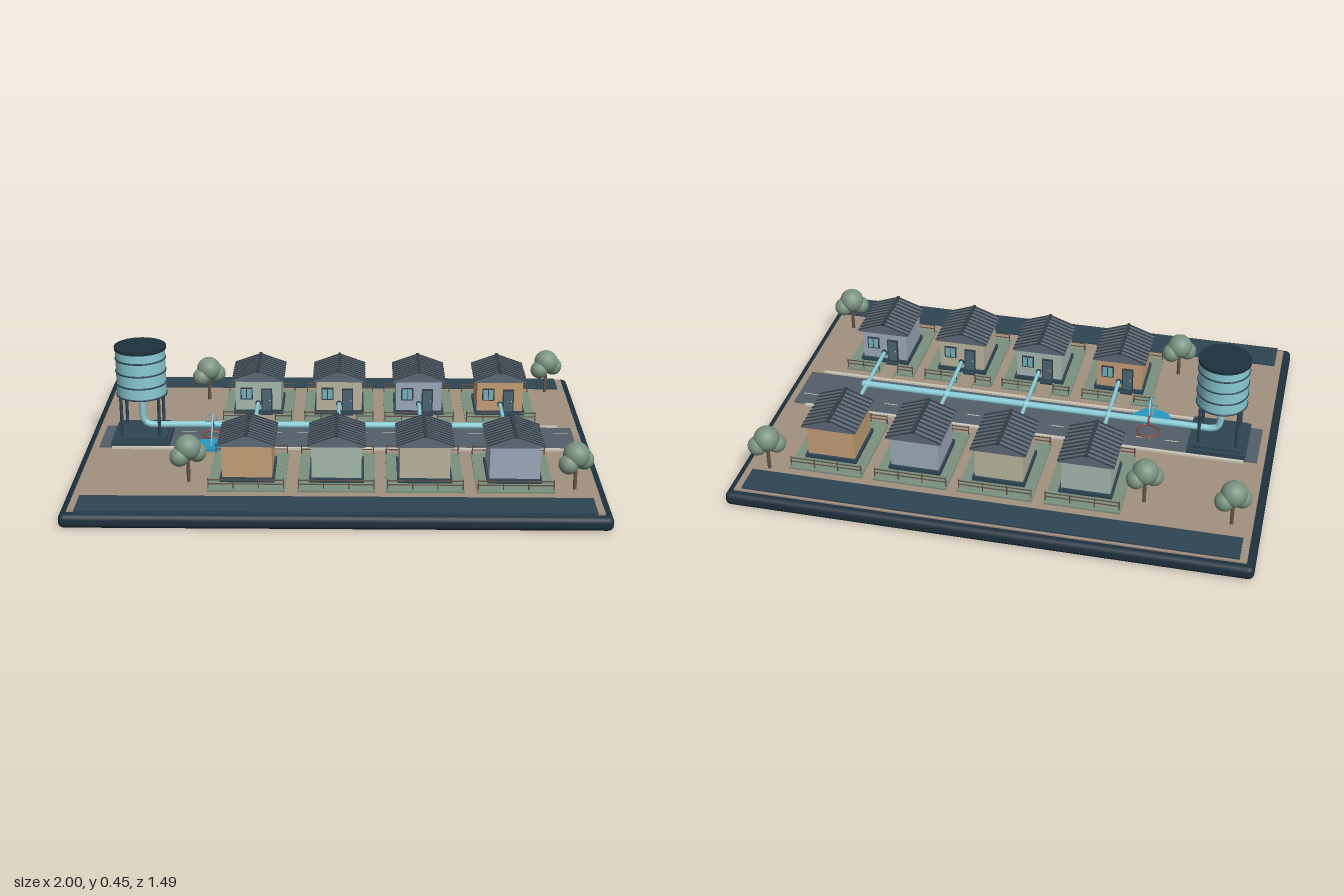
import * as THREE from 'three';
import { RoundedBoxGeometry } from 'three/addons/geometries/RoundedBoxGeometry.js';

const mats = {};
const mat = (c) => (mats[c] ??= new THREE.MeshStandardMaterial({ color: c, roughness: 0.8 }));
const NAVY = 0x1d313d, STRIP = 0x2e4553, SOIL = 0xa39180, ROAD = 0x525e69, LAWN = 0x7b917f, SLATE = 0x5e6a76,
  DARK = 0x343f48, PIPE = 0x8accd6, WATER = 0x2799c4, LEAF = 0x7b9482, TRUNK = 0x665548, KERB = 0xcfcabb, RUST = 0x8a4a3c;

function add(parent, name, geo, color, x = 0, y = 0, z = 0) {
  const m = new THREE.Mesh(geo, mat(color));
  m.name = name;
  m.position.set(x, y, z);
  parent.add(m);
  return m;
}
// Box given by its centre in x and z and by its bottom and top heights
const slab = (p, name, color, w, d, y0, y1, x = 0, z = 0) =>
  add(p, name, new THREE.BoxGeometry(w, y1 - y0, d), color, x, (y0 + y1) / 2, z);
const post = (p, name, color, r, y0, y1, x, z, seg = 10) =>
  add(p, name, new THREE.CylinderGeometry(r, r, y1 - y0, seg), color, x, (y0 + y1) / 2, z);
const tube = (p, name, color, pts, r, seg = 24) => add(p, name,
  new THREE.TubeGeometry(new THREE.CatmullRomCurve3(pts.map((a) => new THREE.Vector3(...a)), false, 'catmullrom', 0.2), seg, r, 12), color);

// One plot with its house; its front faces +z and the house stands on its origin
function housePlot(wall) {
  const g = new THREE.Group();
  g.name = 'housePlot';
  slab(g, 'lawn', LAWN, 0.29, 0.37, 0.058, 0.068, 0, 0.0);
  slab(g, 'path', SOIL, 0.062, 0.125, 0.058, 0.0705, 0.035, 0.165);
  slab(g, 'foundation', STRIP, 0.205, 0.222, 0.066, 0.084);
  slab(g, 'walls', wall, 0.188, 0.2, 0.08, 0.216);

  // Gable roof with ridge along z
  const s = new THREE.Shape([[-0.108, 0.212], [0.108, 0.212], [0.108, 0.217], [0, 0.256], [-0.108, 0.217]]
    .map((p) => new THREE.Vector2(...p)));
  add(g, 'roof', new THREE.ExtrudeGeometry(s, { depth: 0.232, bevelEnabled: false }), SLATE, 0, 0, -0.116);
  slab(g, 'ridgeCap', DARK, 0.012, 0.234, 0.252, 0.262);
  const len = Math.hypot(0.108, 0.039), tilt = Math.atan2(0.039, 0.108);
  for (const side of [-1, 1]) {
    for (let i = 0; i < 10; i++) {
      const rib = add(g, 'roofRib', new THREE.BoxGeometry(len, 0.005, 0.006), DARK,
        side * 0.054, 0.2375, -0.112 + i * 0.0249);
      rib.rotation.z = -side * tilt;
    }
  }

  // Door and window
  slab(g, 'doorFrame', DARK, 0.046, 0.008, 0.084, 0.178, 0.035, 0.102);
  slab(g, 'door', 0x4d6673, 0.036, 0.008, 0.084, 0.172, 0.035, 0.105);
  add(g, 'doorKnob', new THREE.SphereGeometry(0.003, 8, 6), KERB, 0.048, 0.128, 0.111);
  slab(g, 'doorStep', STRIP, 0.05, 0.02, 0.066, 0.078, 0.035, 0.118);
  slab(g, 'windowFrame', DARK, 0.05, 0.008, 0.13, 0.182, -0.048, 0.102);
  slab(g, 'windowPane', 0x77b3c0, 0.04, 0.008, 0.135, 0.177, -0.048, 0.104);
  slab(g, 'windowBar', DARK, 0.003, 0.008, 0.135, 0.177, -0.048, 0.1055);

  // Fences: full along the back, gap for the path in front
  const fence = (x0, x1, z) => {
    const n = Math.max(1, Math.round((x1 - x0) / 0.09));
    for (let i = 0; i <= n; i++) post(g, 'fencePost', TRUNK, 0.0025, 0.066, 0.108, x0 + (i / n) * (x1 - x0), z, 6);
    for (const y of [0.084, 0.1]) slab(g, 'fenceRail', TRUNK, x1 - x0, 0.003, y, y + 0.004, (x0 + x1) / 2, z);
  };
  fence(-0.14, 0.14, -0.168);
  fence(-0.14, -0.005, 0.176);
  fence(0.075, 0.14, 0.176);
  return g;
}

function tree(x, z) {
  const g = new THREE.Group();
  g.name = 'tree';
  g.position.set(x, 0, z);
  post(g, 'trunk', TRUNK, 0.007, 0.06, 0.17, 0, 0);
  for (const [px, py, pz, r] of [[0, 0.198, 0, 0.05], [-0.03, 0.168, 0.02, 0.037], [0.031, 0.173, -0.018, 0.038]])
    add(g, 'foliage', new THREE.SphereGeometry(r, 20, 14), LEAF, px, py, pz);
  return g;
}

function waterTower() {
  const g = new THREE.Group();
  g.name = 'waterTower';
  g.position.x = -0.78;
  slab(g, 'plinthBase', STRIP, 0.23, 0.224, 0.06, 0.085);
  slab(g, 'plinthTop', STRIP, 0.205, 0.2, 0.085, 0.096);
  for (const x of [-0.074, 0.074]) for (const z of [-0.074, 0.074]) post(g, 'leg', STRIP, 0.0065, 0.09, 0.255, x, z);
  post(g, 'tank', PIPE, 0.098, 0.248, 0.44, 0, 0, 48);
  post(g, 'tankLid', NAVY, 0.102, 0.438, 0.45, 0, 0, 48);
  for (const y of [0.252, 0.3, 0.35, 0.402]) {
    const band = add(g, 'tankBand', new THREE.TorusGeometry(0.098, 0.0035, 8, 48), STRIP, 0, y, 0);
    band.rotation.x = Math.PI / 2;
  }
  return g;
}

export function createModel() {
  const model = new THREE.Group();
  model.name = 'townshipWaterNetwork';

  // Base board
  add(model, 'baseBoard', new RoundedBoxGeometry(2, 0.055, 1.49, 4, 0.022), NAVY, 0, 0.0275, 0);
  slab(model, 'ground', SOIL, 1.94, 1.43, 0.045, 0.061);
  slab(model, 'frontStrip', STRIP, 1.885, 0.135, 0.055, 0.067, 0, 0.657);
  slab(model, 'backStrip', STRIP, 1.885, 0.12, 0.055, 0.067, 0, -0.645);

  // Road with kerbs and lane dashes
  slab(model, 'road', ROAD, 1.885, 0.225, 0.055, 0.066, 0, -0.002);
  for (const z of [-0.124, 0.122]) slab(model, 'kerb', KERB, 1.78, 0.012, 0.058, 0.07, 0, z);
  for (let i = 0; i < 14; i++) slab(model, 'laneDash', KERB, 0.055, 0.004, 0.06, 0.067, -0.6 + i * 0.115, -0.048);

  // Houses in two rows facing the road
  const columns = [-0.335, 0, 0.33, 0.665];
  const walls = [0xc6a077, 0xa6bab0, 0xbab69f, 0x9dabbc];
  columns.forEach((x, i) => {
    const front = housePlot(walls[i]);
    front.position.set(x, 0, 0.355);
    front.rotation.y = Math.PI;
    const back = housePlot(walls[(i + 1) % 4]);
    back.position.set(x, 0, -0.36);
    model.add(front, back);
  });

  // Supply main with a branch to every house pair
  model.add(waterTower());
  tube(model, 'supplyMain', PIPE, [[-0.78, 0.26, 0], [-0.78, 0.16, 0], [-0.773, 0.13, 0], [-0.745, 0.118, 0],
    [-0.6, 0.118, 0], [0.675, 0.118, 0]], 0.0135, 80);
  add(model, 'mainEndCap', new THREE.SphereGeometry(0.0145, 14, 10), PIPE, 0.675, 0.118, 0);
  for (const x of columns) {
    const branch = add(model, 'branchPipe', new THREE.CylinderGeometry(0.008, 0.008, 0.5, 12), PIPE, x, 0.118, 0);
    branch.rotation.x = Math.PI / 2;
    add(model, 'pipeJunction', new THREE.SphereGeometry(0.0165, 14, 10), PIPE, x, 0.118, 0);
    for (const z of [-0.244, 0.244]) {
      const flange = add(model, 'pipeFlange', new THREE.CylinderGeometry(0.012, 0.012, 0.008, 12), STRIP, x, 0.118, z);
      flange.rotation.x = Math.PI / 2;
    }
  }

  // Burst in the main: rust ring, collar, water jet, drops and puddle
  const ring = add(model, 'burstRing', new THREE.TorusGeometry(0.043, 0.004, 8, 32), RUST, -0.5, 0.072, -0.008);
  ring.rotation.x = Math.PI / 2;
  const collar = add(model, 'burstCollar', new THREE.TorusGeometry(0.016, 0.004, 8, 24), RUST, -0.5, 0.118, 0);
  collar.rotation.y = Math.PI / 2;
  slab(model, 'crack', RUST, 0.006, 0.04, 0.128, 0.135, -0.5, 0.012);
  tube(model, 'waterJet', PIPE, [[-0.5, 0.128, 0.005], [-0.497, 0.165, 0.025], [-0.495, 0.182, 0.05],
    [-0.495, 0.168, 0.08], [-0.497, 0.12, 0.1], [-0.5, 0.07, 0.108]], 0.0035);
  for (let i = 0; i < 8; i++) {
    const a = i * 2.4;
    add(model, 'waterDrop', new THREE.SphereGeometry(0.004, 8, 6), WATER,
      -0.5 + 0.022 * Math.cos(a), 0.13 + 0.006 * i, 0.06 + 0.03 * Math.sin(a));
  }
  const puddle = new THREE.Shape(Array.from({ length: 40 }, (_, i) => {
    const a = (i / 40) * Math.PI * 2, r = 1 + 0.05 * Math.sin(3 * a) + 0.03 * Math.cos(5 * a);
    return new THREE.Vector2(0.077 * r * Math.cos(a), 0.055 * r * Math.sin(a));
  }));
  const pool = add(model, 'puddle', new THREE.ExtrudeGeometry(puddle, { depth: 0.012, bevelEnabled: false }), WATER, -0.5, 0.06, 0.092);
  pool.rotation.x = -Math.PI / 2;

  // Trees
  for (const [x, z] of [[-0.89, -0.505], [-0.555, -0.445], [0.885, -0.555], [-0.555, 0.442], [0.885, 0.495]])
    model.add(tree(x, z));

  return model;
}
